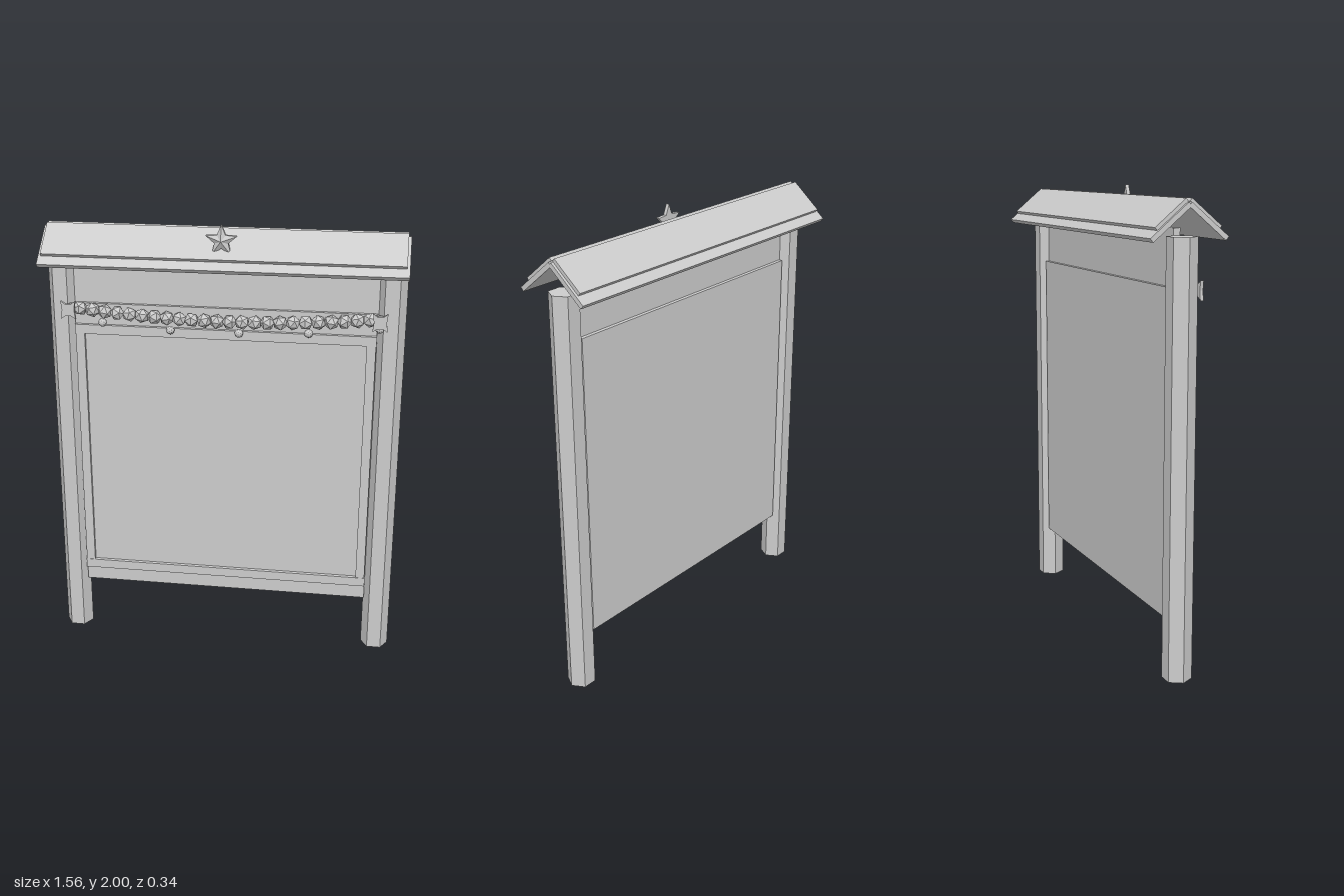
import * as THREE from 'three';

const paint = new THREE.MeshStandardMaterial({ color: 0xcccccc });
paint.name = 'light grey';

function add(parent, name, geometry, x = 0, y = 0, z = 0) {
  const geo = geometry.index ? geometry.toNonIndexed() : geometry;
  geo.computeVertexNormals(); // faceted shading
  const mesh = new THREE.Mesh(geo, paint);
  mesh.name = name;
  mesh.position.set(x, y, z);
  parent.add(mesh);
  return mesh;
}

const box = (w, h, d) => new THREE.BoxGeometry(w, h, d);

// Five-pointed star: flat back, straight rim and a raised centre
function starGeometry(outer, inner, rim, peak) {
  const pos = [];
  const point = (i, z) => {
    const a = Math.PI / 2 + (i * Math.PI) / 5;
    const r = i % 2 ? inner : outer;
    return [r * Math.cos(a), r * Math.sin(a), z];
  };
  for (let i = 0; i < 10; i++) {
    const a = point(i, 0), b = point(i + 1, 0);
    const c = point(i, rim), d = point(i + 1, rim);
    pos.push(...c, ...d, 0, 0, peak); // front facet
    pos.push(...a, ...b, ...d, ...a, ...d, ...c); // rim
    pos.push(...b, ...a, 0, 0, 0); // back
  }
  const geo = new THREE.BufferGeometry();
  geo.setAttribute('position', new THREE.Float32BufferAttribute(pos, 3));
  return geo;
}

// Pinched ribbon plate
function bowGeometry() {
  const s = new THREE.Shape();
  [[-0.032, -0.04], [-0.012, -0.026], [0.012, -0.026], [0.032, -0.04],
    [0.027, 0], [0.032, 0.04], [0.012, 0.026], [-0.012, 0.026], [-0.032, 0.04], [-0.027, 0]]
    .forEach(([x, y], i) => (i ? s.lineTo(x, y) : s.moveTo(x, y)));
  return new THREE.ExtrudeGeometry(s, { depth: 0.014, bevelEnabled: false });
}

export function createModel() {
  const model = new THREE.Group();
  model.name = 'noticeBoard';

  // Hexagonal posts
  for (const side of [-1, 1]) {
    const post = new THREE.CylinderGeometry(0.0625, 0.0625, 1.82, 6).rotateY(Math.PI / 6);
    add(model, side > 0 ? 'leftPost' : 'rightPost', post, side * 0.717, 0.91, 0);
  }

  // Board and the thinner header board above it
  add(model, 'mainPanel', box(1.32, 1.37, 0.064), 0, 0.935, 0);
  add(model, 'headerBoard', box(1.34, 0.25, 0.03), 0, 1.725, 0);

  // Raised frame on the front of the board
  const frame = new THREE.Group();
  frame.name = 'frame';
  model.add(frame);
  add(frame, 'frameTop', box(1.32, 0.042, 0.03), 0, 1.505, 0.034);
  add(frame, 'frameBottom', box(1.32, 0.042, 0.03), 0, 0.34, 0.034);
  for (const side of [-1, 1]) {
    add(frame, 'frameSide', box(0.04, 1.13, 0.026), side * 0.638, 0.922, 0.034);
  }

  // Gable roof: each slope has a base slab and an inset cover slab
  const pitch = Math.atan(0.823);
  for (const side of [-1, 1]) {
    const slope = new THREE.Group();
    slope.name = side > 0 ? 'frontRoofSlope' : 'backRoofSlope';
    slope.position.y = 1.945;
    slope.rotation.x = side * pitch;
    model.add(slope);
    add(slope, 'roofBase', box(1.564, 0.02, 0.21), 0, 0, side * 0.105);
    add(slope, 'roofCover', box(1.54, 0.015, 0.169), 0, 0.0175, side * 0.0805);
  }

  // Star on the front slope
  add(model, 'star', starGeometry(0.07, 0.031, 0.016, 0.033), 0, 1.93, 0.09);

  // Sagging garland of faceted beads
  const garland = new THREE.Group();
  garland.name = 'garland';
  model.add(garland);
  const count = 24;
  for (let i = 0; i < count; i++) {
    const t = (i / (count - 1)) * 2 - 1;
    const bead = new THREE.IcosahedronGeometry(0.033, 0).rotateZ(i * 0.7);
    add(garland, 'garlandBead', bead, t * 0.63, 1.568 + 0.034 * t * t, 0.055);
  }

  // Small baubles hanging under the garland
  [[-0.53, 1.545], [-0.23, 1.523], [0.07, 1.522], [0.37, 1.535], [0.67, 1.568]].forEach(([x, y]) => {
    add(garland, 'bauble', new THREE.IcosahedronGeometry(0.019, 1), x, y, 0.065);
  });

  // Bows at both ends, each with a knot behind joining it to the post
  for (const side of [-1, 1]) {
    add(model, 'bow', bowGeometry(), side * 0.672, 1.605, 0.09);
    add(model, 'bowKnot', box(0.02, 0.03, 0.06), side * 0.672, 1.605, 0.068);
  }

  return model;
}
